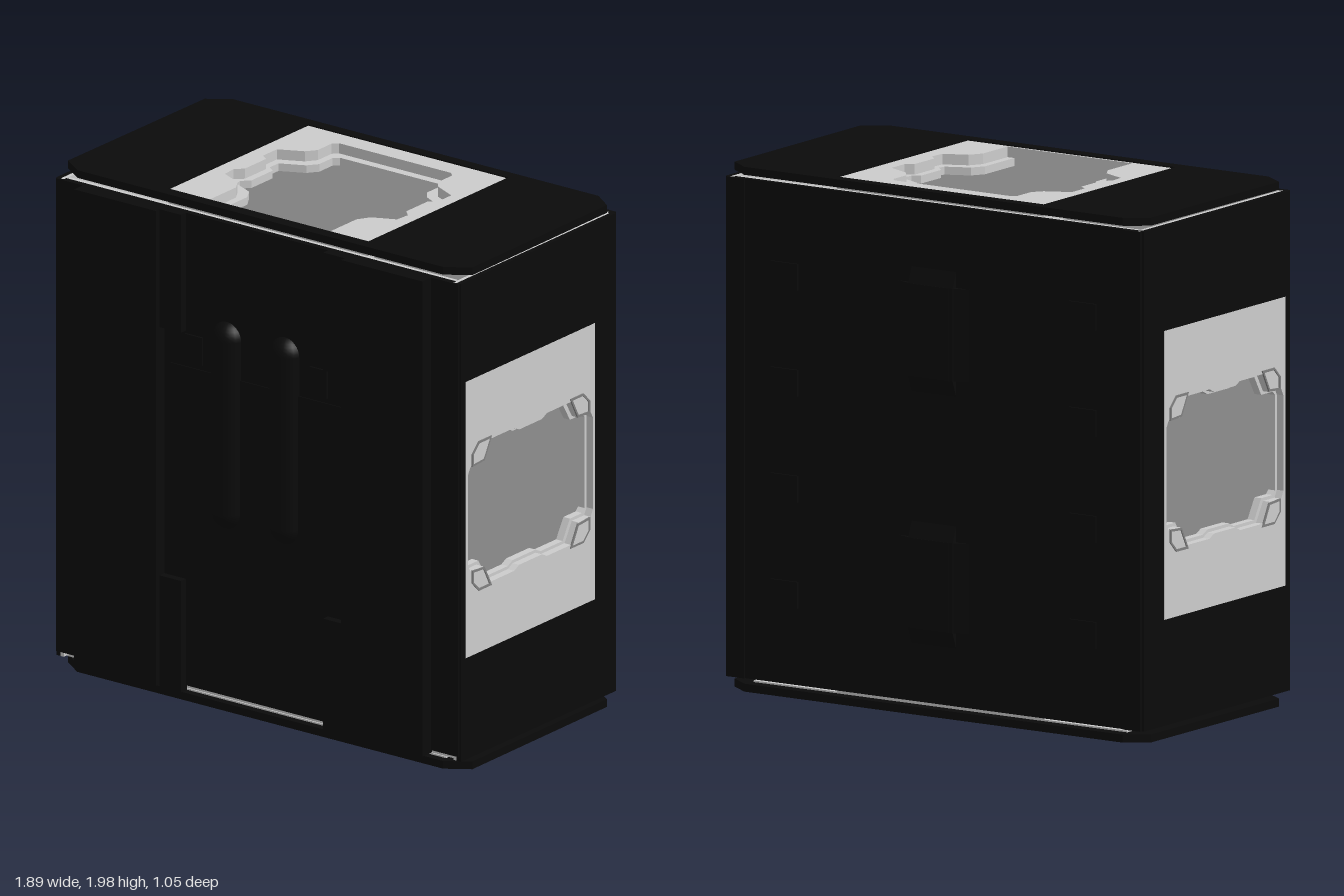
import * as THREE from 'three';

export function createModel() {
  const model = new THREE.Group();
  const black = new THREE.MeshStandardMaterial({ color: 0x0a0a0a, side: THREE.DoubleSide });
  black.name = 'black shell';
  const grey = new THREE.MeshStandardMaterial({ color: 0xcccccc, side: THREE.DoubleSide });
  grey.name = 'light grey frame';
  const dark = new THREE.MeshStandardMaterial({ color: 0x808080 });
  dark.name = 'mid grey detail';

  const add = (name, geo, mat, x = 0, y = 0, z = 0) => {
    const m = new THREE.Mesh(geo, mat);
    m.name = name;
    m.position.set(x, y, z);
    model.add(m);
    return m;
  };
  // Box given by its limits on each axis
  const box = (name, mat, x0, x1, y0, y1, z0, z1) =>
    add(name, new THREE.BoxGeometry(x1 - x0, y1 - y0, z1 - z0), mat,
      (x0 + x1) / 2, (y0 + y1) / 2, (z0 + z1) / 2);
  const rect = (a, b, c, d) => [[a, c], [b, c], [b, d], [a, d]];
  const plate = (outer, hole, depth) => {
    const v = (p) => p.map(([a, b]) => new THREE.Vector2(a, b));
    const shape = new THREE.Shape(v(outer));
    if (hole) shape.holes.push(new THREE.Path(v(hole)));
    return new THREE.ExtrudeGeometry(shape, { depth, bevelEnabled: false });
  };

  // Plate on a side wall: points are [z, y], outer face at x = face
  const sidePlate = (name, mat, s, outer, hole, face, depth) => {
    const f = (p) => p && p.map(([z, y]) => [-s * z, y]);
    add(name, plate(f(outer), f(hole), depth), mat, s * (face - depth)).rotation.y = s * Math.PI / 2;
  };
  // Plate on the top (s = 1) or bottom (s = -1): points are [x, z]
  const capPlate = (name, mat, s, outer, hole, face, depth) => {
    const f = (p) => p && p.map(([x, z]) => [x, -s * z]);
    add(name, plate(f(outer), f(hole), depth), mat, 0, 1 + s * (face - depth), 0)
      .rotation.x = -s * Math.PI / 2;
  };

  // Side walls, with a framed stepped opening
  const wall = rect(-0.49, 0.46, 0.06, 1.945);
  const window_ = rect(-0.36, 0.43, 0.46, 1.55);
  // Mirror one quarter of an outline about a centre
  const quarter = (pts, cu, cv) => {
    const out = [];
    [[1, 1], [-1, 1], [-1, -1], [1, -1]].forEach(([a, b]) => {
      const q = pts.map(([u, v]) => [cu + a * u, cv + b * v]);
      out.push(...(a * b > 0 ? q : q.reverse()));
    });
    return out;
  };
  const sideHole = (g) => quarter([[0.37 + g, 0.18], [0.355 + g, 0.195 + g], [0.28 + g, 0.195 + g],
    [0.235 + g, 0.27 + g], [0.1, 0.27 + g], [0.07, 0.255 + g]], 0.035, 1);
  const pocket = (k) => [[0.36, 0.205], [0.36, 0.255], [0.32, 0.295], [0.24, 0.295], [0.285, 0.21]]
    .map(([u, v]) => [0.31 + (u - 0.31) * k, 0.25 + (v - 0.25) * k]);
  for (const s of [1, -1]) {
    sidePlate('sideWall', black, s, wall, window_, 0.94, 0.02);
    sidePlate('sideLiner', grey, s, wall, window_, 0.92, 0.015);
    sidePlate('sideFrame', grey, s, window_, sideHole(0.012), 0.941, 0.03);
    sidePlate('sideInnerLip', grey, s, window_, sideHole(0), 0.911, 0.03);
    for (const a of [1, -1]) for (const b of [1, -1]) {
      const place = (p) => p.map(([u, v]) => [0.035 + a * u, 1 + b * v]);
      sidePlate('cornerPocketRim', dark, s, place(pocket(1)), place(pocket(0.8)), 0.945, 0.006);
    }
  }

  // Top and bottom caps, with a stepped opening
  const capOutline = [[-0.85, -0.5], [0.85, -0.5], [0.935, -0.44], [0.94, 0.39], [0.85, 0.45],
    [-0.85, 0.45], [-0.94, 0.39], [-0.935, -0.44]];
  const capWindow = rect(-0.465, 0.465, -0.455, 0.4);
  const capHole = (g, e) => {
    const half = [[0.25 + g, 0.39], [0.25 + g, 0.2 + g], [0.28 + g, 0.15 + g], [0.37 + g, 0.11 + g],
      [0.375 + g, 0.08], [0.345 + g, 0.05], [0.345 + g, -0.08], [0.375 + g, -0.1],
      [0.375 + g, -0.155 - g], [0.28 + g, -0.2 - g], [0.25 + g, -0.24 - g],
      [0.25 + g, -0.32 - e], [0.23 + g, -0.34 - e]];
    return [...half, ...half.map(([x, z]) => [-x, z]).reverse()];
  };
  for (const s of [1, -1]) {
    capPlate('cap', black, s, capOutline, capWindow, 0.99, 0.03);
    capPlate('capLiner', grey, s, rect(-0.84, 0.84, -0.455, 0.42), capWindow, 0.96, 0.006);
    capPlate('capFrame', grey, s, capWindow, capHole(0.03, 0.035), 0.985, 0.04);
    capPlate('capInnerLip', grey, s, capWindow, capHole(0, 0), 0.945, 0.03);
  }

  // Back wall with lining, rounded corner pads and two central bulges
  box('backWall', black, -0.92, 0.92, 0.06, 1.945, -0.495, -0.475);
  box('backLiner', grey, -0.9, 0.9, 0.06, 1.945, -0.475, -0.46);
  const bulge = [[-0.16, 0], [-0.08, 0.025], [0.08, 0.025], [0.16, 0]];
  for (const [y0, y1] of [[0.28, 0.74], [1.23, 1.7]]) {
    const g = plate([[y0, 0], [y0 + 0.06, 0.023], [y1 - 0.06, 0.023], [y1, 0]], null, 0.2);
    // Profile runs along y, its height points backwards
    g.applyMatrix4(new THREE.Matrix4().set(0, 0, 1, -0.1, 1, 0, 0, 0, 0, -1, 0, -0.497, 0, 0, 0, 1));
    add('backBulge', g, black);
    const c = plate(bulge, null, y1 - y0 - 0.12);
    c.applyMatrix4(new THREE.Matrix4().set(1, 0, 0, 0, 0, 0, 1, y0 + 0.06, 0, -1, 0, -0.497, 0, 0, 0, 1));
    add('backBulgeCore', c, black);
  }
  for (const s of [1, -1]) {
    for (const y of [0.4, 0.8, 1.2, 1.6]) {
      box('backPad', black, s * 0.67 - 0.06, s * 0.67 + 0.06, y - 0.05, y + 0.05, -0.504, -0.49);
    }
    box('backCornerStrip', black, s * 0.89 - 0.04, s * 0.89 + 0.04, 0.06, 1.945, -0.502, -0.48);
  }

  // Front wall, raised outer panels and stepped inner strips
  box('frontWall', black, -0.935, 0.935, 0.08, 1.945, 0.445, 0.47);
  box('frontLiner', grey, -0.9, 0.9, 0.06, 1.945, 0.43, 0.445);
  for (const s of [1, -1]) {
    const span = (a, b) => [Math.min(s * a, s * b), Math.max(s * a, s * b)];
    box('frontPanel', black, ...span(0.43, 0.81), 0.07, 1.945, 0.465, 0.523);
    box('frontLowerStrip', black, ...span(0.33, 0.43), 0.06, 0.5, 0.465, 0.5);
    box('frontUpperStrip', black, ...span(0.33, 0.43), 1.48, 1.945, 0.465, 0.5);
    box('frontSideTab', black, ...span(0.25, 0.33), 1.36, 1.47, 0.465, 0.478);
  }
  box('frontCentrePanel', black, -0.4, 0.4, 0.56, 1.34, 0.465, 0.475);
  for (const x of [-0.14, 0.13]) {
    add('frontRib', new THREE.CapsuleGeometry(0.07, 0.68, 8, 20), black, x, 1.15, 0.45);
  }

  // Loose cables behind the opening
  const cable = (pts) => add('cable', new THREE.TubeGeometry(
    new THREE.CatmullRomCurve3(pts.map((p) => new THREE.Vector3(...p))), 32, 0.008, 6), dark);
  cable([[0.14, 1.3, -0.45], [0.14, 1.26, -0.3], [0.19, 1.1, -0.25], [0.24, 0.95, -0.2], [0.25, 0.85, -0.45]]);
  cable([[0.22, 1.3, -0.45], [0.23, 1.2, -0.3], [0.19, 1.05, -0.26], [0.17, 0.85, -0.3], [0.15, 0.8, -0.45]]);

  return model;
}
